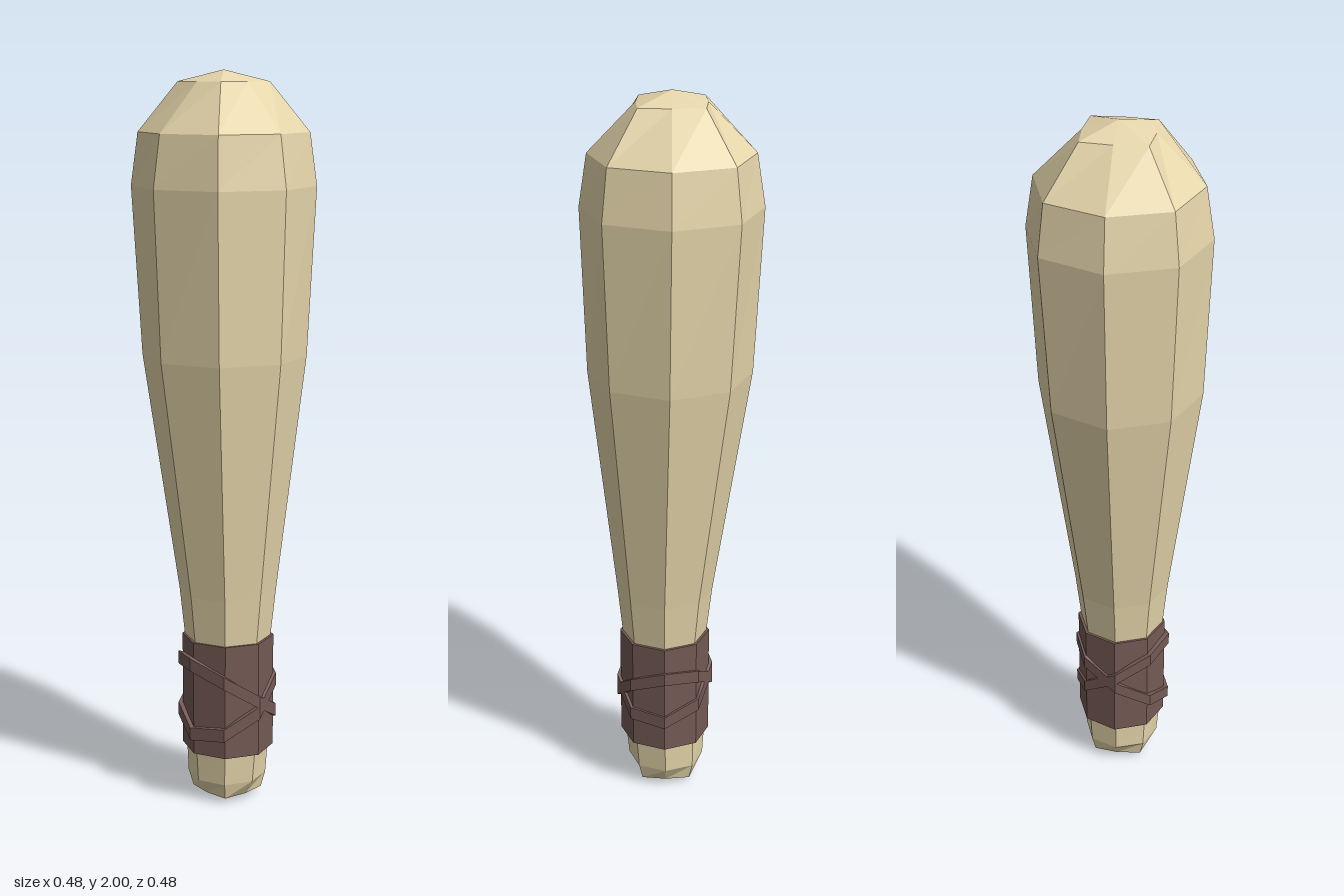
import * as THREE from 'three';

const SIDES = 8;

// Joins octagonal rings from bottom to top.
// Ring: [y, radius on the axes, radius on the diagonals, centre x, centre z]
// lift(angle) shifts each corner in y, so a ring can be tilted.
function loft(rings, lift = () => 0) {
  const points = [];
  const index = [];
  for (const [y, axisR, diagR, cx, cz] of rings) {
    for (let i = 0; i < SIDES; i++) {
      const a = (i / SIDES) * Math.PI * 2;
      const r = i % 2 ? diagR : axisR;
      points.push(cx + Math.cos(a) * r, y + lift(a), cz + Math.sin(a) * r);
    }
  }
  for (let j = 0; j < rings.length - 1; j++) {
    for (let i = 0; i < SIDES; i++) {
      const n = (i + 1) % SIDES;
      const a = j * SIDES + i, b = j * SIDES + n;
      const c = a + SIDES, d = b + SIDES;
      if (rings[j][1] > 0) index.push(a, c, b);
      if (rings[j + 1][1] > 0) index.push(b, c, d);
      else if (rings[j][1] === 0) index.push(b, c, d);
    }
  }
  const geometry = new THREE.BufferGeometry();
  geometry.setAttribute('position', new THREE.Float32BufferAttribute(points, 3));
  geometry.setIndex(index);
  const flat = geometry.toNonIndexed();
  flat.computeVertexNormals();
  return flat;
}

// Hollow band: lower edge, outer wall, upper edge
function band(y0, y1, inner, outer, cx, cz, lift) {
  return loft([
    [y0, inner, inner, cx, cz],
    [y0, outer, outer, cx, cz],
    [y1, outer, outer, cx, cz],
    [y1, inner, inner, cx, cz],
  ], lift);
}

export function createModel() {
  const group = new THREE.Group();
  const wood = new THREE.MeshStandardMaterial({ color: 0xe6d6ab, flatShading: true });
  const leather = new THREE.MeshStandardMaterial({ color: 0x755a54, flatShading: true });

  const add = (name, geometry, material) => {
    const mesh = new THREE.Mesh(geometry, material);
    mesh.name = name;
    group.add(mesh);
  };

  // Wooden shaft, swelling to a rounded head; the grip leans slightly forward
  add('club', loft([
    [0.005, 0, 0, -0.003, 0.018],
    [0.02, 0.076, 0.095, -0.003, 0.018],
    [0.065, 0.106, 0.108, -0.004, 0.018],
    [0.15, 0.113, 0.113, -0.004, 0.02],
    [0.47, 0.119, 0.119, -0.004, 0.021],
    [0.6, 0.133, 0.133, -0.003, 0.02],
    [1.25, 0.221, 0.221, -0.002, 0.005],
    [1.7, 0.24, 0.246, 0, 0],
    [1.84, 0.218, 0.227, 0, 0],
    [1.97, 0.092, 0.121, 0, 0],
    [2, 0, 0, 0, 0],
  ]), wood);

  // Leather wrap around the grip
  add('gripWrap', band(0.15, 0.47, 0.108, 0.126, -0.003, 0.021), leather);

  // Two thin straps tilted opposite ways, crossing at front and back
  for (const [name, y, slope] of [['fallingStrap', 0.325, -0.085], ['risingStrap', 0.295, 0.085]]) {
    const lift = (a) => slope * Math.cos(a) - 0.02 * Math.sin(a);
    add(name, band(y - 0.018, y + 0.018, 0.115, 0.136, -0.006, 0.021, lift), leather);
  }

  return group;
}
